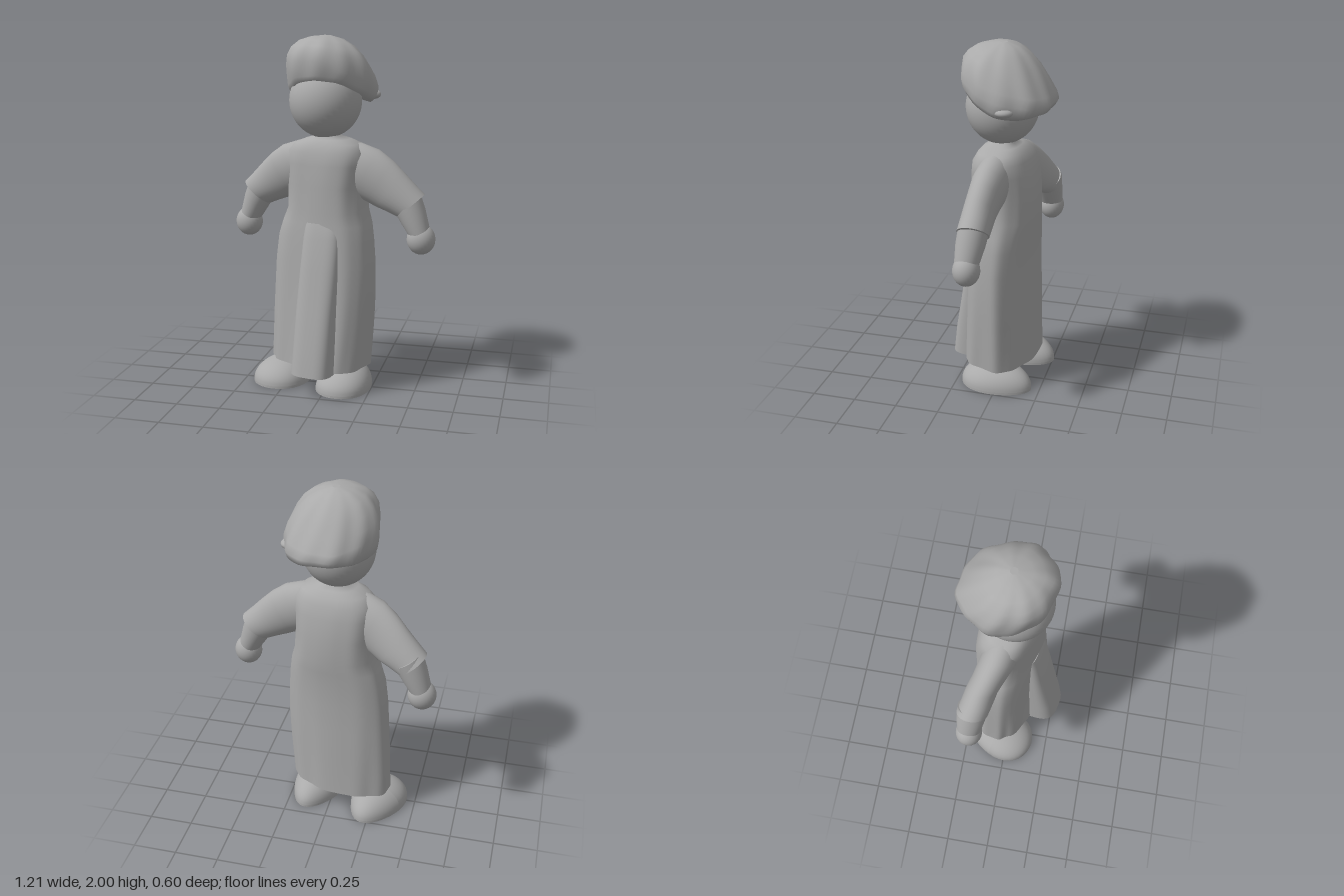
import * as THREE from 'three';

const grey = new THREE.MeshStandardMaterial({ color: 0xaaaaaa, side: THREE.DoubleSide });
grey.name = 'plain grey';

function part(parent, name, geometry, x = 0, y = 0, z = 0) {
  const mesh = new THREE.Mesh(geometry, grey);
  mesh.name = name;
  mesh.position.set(x, y, z);
  parent.add(mesh);
  return mesh;
}

// Skins a list of closed rings; each ring maps an angle to a point. Ends are capped with a crisp edge.
function loft(rings, sides = 48) {
  const pos = [], index = [];
  rings.forEach((ring, i) => {
    for (let j = 0; j < sides; j++) {
      pos.push(...ring(j / sides * Math.PI * 2).toArray());
      if (i === rings.length - 1) continue;
      const a = i * sides + j, b = i * sides + (j + 1) % sides;
      index.push(a, b, b + sides, a, b + sides, a + sides);
    }
  });
  for (const end of [0, rings.length - 1]) {
    const start = pos.length / 3, mid = new THREE.Vector3();
    for (let j = 0; j < sides; j++) {
      const p = rings[end](j / sides * Math.PI * 2);
      pos.push(...p.toArray());
      mid.addScaledVector(p, 1 / sides);
    }
    pos.push(...mid.toArray());
    for (let j = 0; j < sides; j++) {
      const a = start + j, b = start + (j + 1) % sides;
      index.push(start + sides, ...(end ? [a, b] : [b, a]));
    }
  }
  const g = new THREE.BufferGeometry();
  g.setAttribute('position', new THREE.Float32BufferAttribute(pos, 3));
  g.setIndex(index);
  g.computeVertexNormals();
  return g;
}

// Ring between x0..x1 and z0..z1: power below 1 is boxier, taper makes the front fuller toward +x,
// slope and arch lift it along z, lean drops it toward +x, and fold ripples the radius
function levelRing(y, x0, x1, z0, z1, { power = 1, yaw = 0, taper = 0, slope = 0, arch = 0, lean = 0, fold = 0, count = 6, twist = 0 } = {}) {
  const bend = (v) => Math.sign(v) * Math.abs(v) ** power;
  return (t) => {
    const r = 1 + fold * Math.sin(count * t + twist) + fold * 0.6 * Math.sin((count + 5) * t - twist);
    const side = bend(Math.cos(t)), depth = -bend(Math.sin(t));
    const x = side * r * (x1 - x0) / 2;
    const z = depth * r * (z1 - z0) / 2 * (depth > 0 ? 1 + taper * side : 1);
    const px = (x0 + x1) / 2 + x * Math.cos(yaw) - z * Math.sin(yaw);
    const pz = (z0 + z1) / 2 + x * Math.sin(yaw) + z * Math.cos(yaw);
    return new THREE.Vector3(px, y + slope * pz + arch * pz * pz - lean * px, pz);
  };
}

// Ring square to an arm that slopes down by the given angle
function armRing(side, x, y, z, r, rz, angle) {
  return (t) => new THREE.Vector3(
    side * (x + Math.sin(angle) * r * Math.cos(t)),
    y + Math.cos(angle) * r * Math.cos(t),
    z + side * rz * Math.sin(t));
}

// Shoe outline: wide at the toe, narrow at the heel
function shoeShape(g) {
  const p = g.attributes.position;
  for (let i = 0; i < p.count; i++) {
    const z = p.getZ(i);
    p.setXYZ(i, p.getX(i) * (0.135 + 0.03 * z), p.getY(i), z * 0.215);
  }
  g.computeVertexNormals();
  return g;
}

export function createModel() {
  const model = new THREE.Group();
  model.name = 'robedFigure';

  // Robe: hem to collar
  const robeRows = [
    [0.14, -0.357, 0.23, -0.19, 0.16, 0.028], [0.27, -0.352, 0.24, -0.185, 0.155, 0.026],
    [0.42, -0.346, 0.252, -0.182, 0.15, 0.02], [0.58, -0.337, 0.26, -0.178, 0.145, 0.016],
    [0.74, -0.326, 0.26, -0.174, 0.142, 0.013], [0.88, -0.307, 0.25, -0.18, 0.14, 0.01],
    [0.97, -0.277, 0.237, -0.186, 0.14, 0.01], [1.04, -0.246, 0.216, -0.193, 0.14, 0.012],
    [1.18, -0.24, 0.206, -0.193, 0.142, 0.012], [1.3, -0.246, 0.22, -0.177, 0.142, 0.01],
    [1.37, -0.237, 0.217, -0.155, 0.136, 0], [1.415, -0.195, 0.18, -0.13, 0.115, 0],
    [1.44, -0.13, 0.12, -0.095, 0.095, 0], [1.455, -0.07, 0.065, -0.065, 0.07, 0],
    [1.5, -0.06, 0.055, -0.06, 0.065, 0]];
  part(model, 'robe', loft(robeRows.map(([y, x0, x1, z0, z1, fold], i) =>
    levelRing(y, x0, x1, z0, z1, { power: 0.82, yaw: 0.16, taper: 0.36 - 0.025 * i, fold, count: 5, twist: i * 0.22 })), 64));

  // Front panel hanging from the waist
  const panelRows = [
    [0.135, -0.17, 0.075, 0.04, 0.295], [0.3, -0.16, 0.08, 0.04, 0.275], [0.5, -0.15, 0.085, 0.04, 0.24],
    [0.72, -0.135, 0.095, 0.04, 0.203], [0.9, -0.12, 0.1, 0.04, 0.172], [0.98, -0.11, 0.1, 0.04, 0.147]];
  part(model, 'frontPanel', loft(panelRows.map(([y, x0, x1, z0, z1]) =>
    levelRing(y, x0, x1, z0, z1, { power: 0.65, yaw: 0.1, taper: 0.08 }))));

  // Head
  part(model, 'head', new THREE.SphereGeometry(0.2, 40, 28), -0.02, 1.648, 0.01).scale.y = 1.03;

  // Soft cap, raised over the brow and drooping at the sides and back
  const capRows = [
    [1.69, -0.19, 0.18, -0.18, 0.19, 0.28, 0.9, 0], [1.668, -0.218, 0.225, -0.235, 0.2, 0.3, 1, 0.015],
    [1.7, -0.238, 0.252, -0.278, 0.21, 0.3, 0.7, 0.02], [1.755, -0.246, 0.26, -0.292, 0.218, 0.27, 0.3, 0.022],
    [1.81, -0.246, 0.245, -0.278, 0.22, 0.26, 0, 0.024], [1.86, -0.235, 0.22, -0.24, 0.212, 0.25, 0, 0.025],
    [1.91, -0.21, 0.185, -0.195, 0.185, 0.2, 0, 0.025], [1.955, -0.165, 0.135, -0.14, 0.145, 0.14, 0, 0.02],
    [1.985, -0.1, 0.075, -0.085, 0.09, 0.07, 0, 0.015], [1.998, -0.03, 0.01, -0.02, 0.02, 0, 0, 0]];
  part(model, 'cap', loft(capRows.map(([y, x0, x1, z0, z1, slope, arch, fold], i) =>
    levelRing(y, x0, x1, z0, z1, { slope, arch, fold, lean: 0.07, yaw: 0.22, count: 6, twist: i * 0.5 })), 64));
  part(model, 'capFold', new THREE.SphereGeometry(0.045, 20, 14), 0.225, 1.68, -0.06).scale.set(1.1, 0.6, 1.2);

  // Arms: z is the depth at shoulder, upper arm, elbow, cuff and hand
  for (const [side, label, z] of [[1, 'left', [0, 0.02, 0.035, 0.04, 0.06]], [-1, 'right', [-0.01, -0.055, -0.115, -0.15, -0.165]]]) {
    const arm = new THREE.Group();
    arm.name = label + 'Arm';
    model.add(arm);
    part(arm, 'sleeve', loft([
      armRing(side, 0.06, 1.32, z[0], 0.11, 0.09, 0.22), armRing(side, 0.14, 1.29, (z[0] + z[1]) / 2, 0.137, 0.1, 0.32),
      armRing(side, 0.22, 1.255, z[1], 0.146, 0.098, 0.45), armRing(side, 0.29, 1.215, (z[1] + z[2]) / 2, 0.136, 0.09, 0.57),
      armRing(side, 0.35, 1.17, z[2], 0.124, 0.086, 0.7), armRing(side, 0.41, 1.128, (z[2] + z[3]) / 2, 0.109, 0.086, 0.8),
      armRing(side, 0.465, 1.09, z[3], 0.098, 0.086, 0.87)], 32));
    part(arm, 'forearm', loft([
      armRing(side, 0.44, 1.12, z[3], 0.088, 0.083, 0.95), armRing(side, 0.48, 1.035, (z[3] + z[4]) / 2, 0.077, 0.079, 1.05),
      armRing(side, 0.52, 0.945, z[4], 0.06, 0.066, 1.1)], 32));
    part(arm, 'hand', new THREE.SphereGeometry(0.077, 28, 20), side * 0.528, 0.908, z[4]).scale.set(1.02, 1.1, 0.95);
  }

  // Shoes with flat soles, and ankles reaching up into the robe
  for (const [label, x, z, turn, wide] of [['left', 0.102, 0.01, -0.22, 1.1], ['right', -0.275, -0.05, -0.3, 1.15]]) {
    const foot = new THREE.Group();
    foot.name = label + 'Foot';
    foot.position.set(x, 0, z);
    foot.rotation.y = turn;
    foot.scale.x = wide;
    model.add(foot);
    const dome = new THREE.SphereGeometry(1, 36, 14, 0, Math.PI * 2, 0, Math.PI / 2).scale(1, 0.125, 1);
    part(foot, 'shoe', shoeShape(dome), 0, 0.014, 0);
    part(foot, 'sole', shoeShape(new THREE.CylinderGeometry(1, 1, 0.014, 36)), 0, 0.007, 0);
    part(foot, 'ankle', new THREE.CylinderGeometry(0.055, 0.07, 0.07, 24), 0.01, 0.115, -0.01);
  }
  return model;
}
